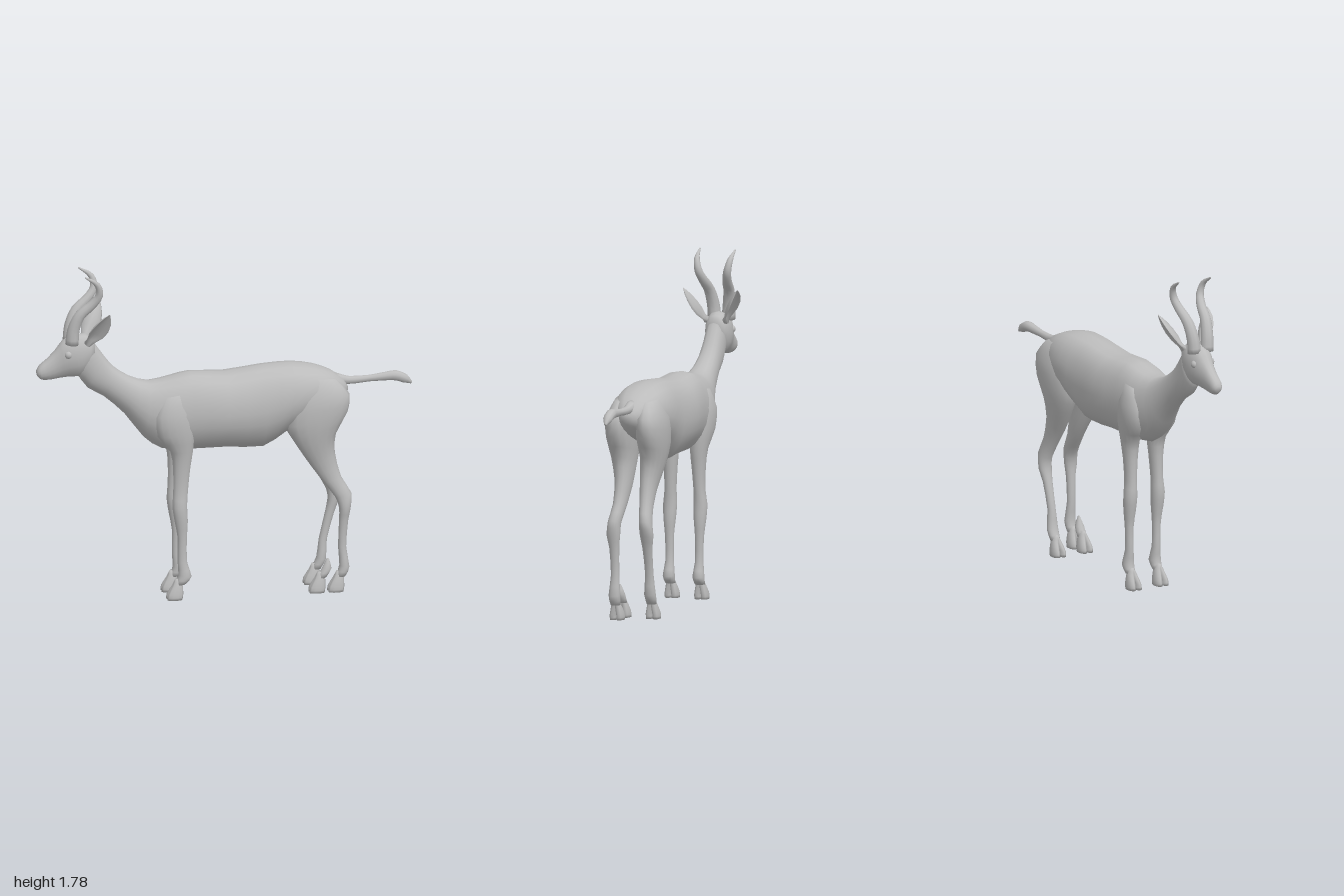
import * as THREE from 'three';

const hide = new THREE.MeshStandardMaterial({ color: 0xbcbcbc });
hide.name = 'grey hide';

// Closed skin from an index grid of rings, capped at both ends and turned outward
function skin(name, rings) {
  const n = rings[0].length, pos = [], idx = [];
  rings.forEach(r => r.forEach(p => pos.push(p.x, p.y, p.z)));
  for (let i = 0; i < rings.length - 1; i++) for (let j = 0; j < n; j++) {
    const a = i * n + j, b = i * n + (j + 1) % n;
    idx.push(a, b, a + n, b, b + n, a + n);
  }
  [0, rings.length - 1].forEach((i, end) => {
    const c = rings[i].reduce((s, p) => s.add(p), new THREE.Vector3()).divideScalar(n);
    const k = pos.length / 3;
    pos.push(c.x, c.y, c.z);
    for (let j = 0; j < n; j++) {
      const a = i * n + j, b = i * n + (j + 1) % n;
      end ? idx.push(a, b, k) : idx.push(b, a, k);
    }
  });
  // Signed volume tells whether the faces look inward
  let volume = 0;
  const at = i => new THREE.Vector3().fromArray(pos, i * 3);
  for (let i = 0; i < idx.length; i += 3) volume += at(idx[i]).dot(at(idx[i + 1]).cross(at(idx[i + 2])));
  if (volume < 0) idx.reverse();
  const g = new THREE.BufferGeometry();
  g.setAttribute('position', new THREE.Float32BufferAttribute(pos, 3));
  g.setIndex(idx);
  g.computeVertexNormals();
  const m = new THREE.Mesh(g, hide);
  m.name = name;
  return m;
}

// Sections: [edge A x, y, edge B x, y, half width, centre z]
function loft(name, sections, { side = 1, pA = 0.9, pB = 0.9, sides = 16, sub = 2, shift = () => 0 } = {}) {
  const curve = f => new THREE.CatmullRomCurve3(sections.map(f), false, 'catmullrom', 0.4);
  const A = curve(s => new THREE.Vector3(s[0], s[1], 0));
  const B = curve(s => new THREE.Vector3(s[2], s[3], 0));
  const W = curve(s => new THREE.Vector3(s[4], s[5] || 0, 0));
  const rings = [], steps = (sections.length - 1) * sub;
  for (let i = 0; i <= steps; i++) {
    const t = i / steps, a = A.getPoint(t), b = B.getPoint(t), w = W.getPoint(t), ring = [];
    for (let j = 0; j < sides; j++) {
      const q = j / sides * Math.PI * 2, c = Math.cos(q), s = Math.sin(q);
      const p = b.clone().lerp(a, (c + 1) / 2);
      p.x += shift(p.y);
      p.z = side * (w.y + w.x * Math.sign(s) * Math.pow(Math.abs(s), c > 0 ? pA : pB));
      ring.push(p);
    }
    rings.push(ring);
  }
  return skin(name, rings);
}

// Round, tapering limb along a path; each point is [x, y, z, radius]
function taper(name, pts, side = 1, sides = 10) {
  const path = new THREE.CatmullRomCurve3(pts.map(p => new THREE.Vector3(p[0], p[1], p[2] * side)));
  const rings = [], steps = (pts.length - 1) * 3;
  for (let i = 0; i <= steps; i++) {
    const t = i / steps, k = Math.min(Math.floor(t * (pts.length - 1)), pts.length - 2);
    const r = THREE.MathUtils.lerp(pts[k][3], pts[k + 1][3], t * (pts.length - 1) - k);
    const c = path.getPoint(t), d = path.getTangent(t);
    const u = new THREE.Vector3(0, 0, 1).cross(d).normalize(), v = d.clone().cross(u);
    rings.push(Array.from({ length: sides }, (_, j) => {
      const q = j / sides * Math.PI * 2;
      return c.clone().addScaledVector(u, r * Math.cos(q)).addScaledVector(v, r * Math.sin(q));
    }));
  }
  return skin(name, rings);
}

// Cloven hoof: two toes side by side, toe tip at x
function hoof(name, x, side) {
  const g = new THREE.Group();
  g.name = name;
  for (const z of [0.064, 0.1]) g.add(loft('toe', [
    [x + 0.045, 0.11, x + 0.09, 0.11, 0.012, 0.082], [x + 0.03, 0.075, x + 0.085, 0.08, 0.017, (z + 0.082) / 2],
    [x + 0.004, 0.03, x + 0.085, 0.03, 0.019, z], [x, 0, x + 0.08, 0, 0.02, z],
  ], { side, sides: 10 }));
  return g;
}

// Cupped leaf-shaped ear, opening outward
function ear(side) {
  const base = new THREE.Vector3(-0.735, 1.4, 0.05), along = new THREE.Vector3(0.1, 0.18, 0.1);
  const across = new THREE.Vector3(0.86, -0.35, -0.35).normalize();
  const out = along.clone().normalize().cross(across).normalize();
  if (out.z < 0) out.negate();
  const rings = [[0, 0.02], [0.15, 0.03], [0.35, 0.048], [0.55, 0.05], [0.75, 0.039], [0.9, 0.02], [1, 0.003]].map(([t, w]) =>
    Array.from({ length: 12 }, (_, j) => {
      const q = j / 12 * Math.PI * 2, c = Math.cos(q), s = Math.sin(q);
      const cup = t > 0.1 ? w * 0.55 * c * c - w * 0.2 : 0;
      const p = base.clone().addScaledVector(along, t).addScaledVector(across, w * c)
        .addScaledVector(out, s * (t > 0.1 ? w * 0.2 : 0.02) + cup);
      p.z *= side;
      return p;
    }));
  return skin('ear', rings);
}

export function createModel() {
  const model = new THREE.Group();
  model.name = 'antelope';

  // Neck and trunk, from nape to rump
  model.add(loft('neckAndTrunk', [
    [-0.71, 1.42, -0.79, 1.24, 0.055], [-0.65, 1.335, -0.725, 1.15, 0.056], [-0.59, 1.26, -0.64, 1.1, 0.06],
    [-0.5, 1.2, -0.53, 1.0, 0.075], [-0.4, 1.17, -0.43, 0.87, 0.105], [-0.28, 1.19, -0.33, 0.8, 0.135],
    [-0.18, 1.21, -0.18, 0.79, 0.143], [0, 1.2, 0, 0.793, 0.163], [0.2, 1.225, 0.2, 0.785, 0.156],
    [0.36, 1.23, 0.32, 0.86, 0.16], [0.48, 1.21, 0.45, 0.92, 0.145], [0.57, 1.175, 0.55, 0.96, 0.11],
    [0.63, 1.13, 0.61, 1.0, 0.07], [0.655, 1.09, 0.645, 1.04, 0.03],
  ], { pA: 0.75, pB: 1.1, sides: 20 }));

  // Head, from muzzle to the back of the skull
  model.add(loft('head', [
    [-0.998, 1.255, -0.992, 1.225, 0.018], [-0.98, 1.285, -0.97, 1.205, 0.032], [-0.94, 1.318, -0.925, 1.203, 0.036],
    [-0.895, 1.365, -0.875, 1.21, 0.043], [-0.855, 1.415, -0.82, 1.215, 0.06], [-0.8, 1.44, -0.77, 1.215, 0.068],
    [-0.74, 1.445, -0.735, 1.24, 0.064], [-0.69, 1.41, -0.7, 1.29, 0.045],
  ], { pA: 0.8, pB: 1.1 }));

  // Tail with a tufted end
  model.add(taper('tail', [
    [0.58, 1.13, 0, 0.035], [0.66, 1.118, 0, 0.022], [0.77, 1.122, 0, 0.018], [0.85, 1.128, 0, 0.023],
    [0.91, 1.13, 0, 0.028], [0.96, 1.11, 0, 0.024], [0.995, 1.087, 0, 0.007],
  ]));

  for (const side of [1, -1]) {
    // Horn, ear and eye
    model.add(taper('horn', [
      [-0.815, 1.4, 0.038, 0.036], [-0.808, 1.48, 0.044, 0.033], [-0.775, 1.56, 0.055, 0.029],
      [-0.715, 1.615, 0.066, 0.025], [-0.678, 1.67, 0.08, 0.021], [-0.69, 1.73, 0.092, 0.015], [-0.755, 1.775, 0.098, 0.004],
    ], side));
    model.add(ear(side));
    const eye = new THREE.Mesh(new THREE.SphereGeometry(0.022, 10, 8), hide);
    eye.name = 'eye';
    eye.position.set(-0.835, 1.345, side * 0.047);
    model.add(eye);

    // Foreleg with shoulder
    model.add(loft('foreleg', [
      [-0.34, 1.1, -0.22, 1.12, 0.03, 0.09], [-0.385, 1.0, -0.19, 1.02, 0.055, 0.097], [-0.37, 0.89, -0.175, 0.91, 0.055, 0.094],
      [-0.3, 0.8, -0.18, 0.8, 0.046, 0.08], [-0.285, 0.7, -0.195, 0.7, 0.036, 0.078], [-0.285, 0.58, -0.207, 0.58, 0.03, 0.08],
      [-0.29, 0.5, -0.212, 0.5, 0.036, 0.084], [-0.278, 0.42, -0.208, 0.42, 0.032, 0.084], [-0.262, 0.33, -0.213, 0.33, 0.023, 0.083],
      [-0.262, 0.2, -0.212, 0.2, 0.022, 0.082], [-0.258, 0.13, -0.188, 0.12, 0.031, 0.082], [-0.275, 0.08, -0.222, 0.08, 0.026, 0.082],
    ], { side }));
    model.add(hoof('foreHoof', -0.32, side));

    // Hind leg with thigh; the right one steps forward below the knee
    const shift = y => side > 0 ? 0 : -0.1 * THREE.MathUtils.clamp((0.6 - y) / 0.5, 0, 1);
    model.add(loft('hindLeg', [
      [0.4, 1.17, 0.58, 1.15, 0.04, 0.075], [0.33, 1.05, 0.65, 1.07, 0.074, 0.084], [0.315, 0.91, 0.64, 0.97, 0.076, 0.084],
      [0.37, 0.8, 0.58, 0.86, 0.062, 0.08], [0.45, 0.68, 0.575, 0.75, 0.045, 0.07], [0.515, 0.59, 0.607, 0.62, 0.035, 0.073],
      [0.575, 0.51, 0.66, 0.53, 0.034, 0.083], [0.595, 0.45, 0.655, 0.45, 0.036, 0.087], [0.595, 0.38, 0.643, 0.38, 0.026, 0.084],
      [0.59, 0.24, 0.633, 0.24, 0.022, 0.082], [0.597, 0.14, 0.65, 0.13, 0.031, 0.082], [0.578, 0.08, 0.628, 0.08, 0.026, 0.082],
    ], { side, shift }));
    model.add(hoof('hindHoof', side > 0 ? 0.535 : 0.435, side));
  }

  // Loose left hoof standing ahead of the hind leg, with a pointed pastern
  model.add(hoof('looseHoof', 0.435, 1));
  model.add(loft('loosePastern', [
    [0.53, 0.18, 0.54, 0.18, 0.004, 0.082], [0.505, 0.13, 0.555, 0.125, 0.024, 0.082], [0.475, 0.075, 0.528, 0.08, 0.026, 0.082],
  ], { side: 1, sides: 10 }));

  return model;
}
